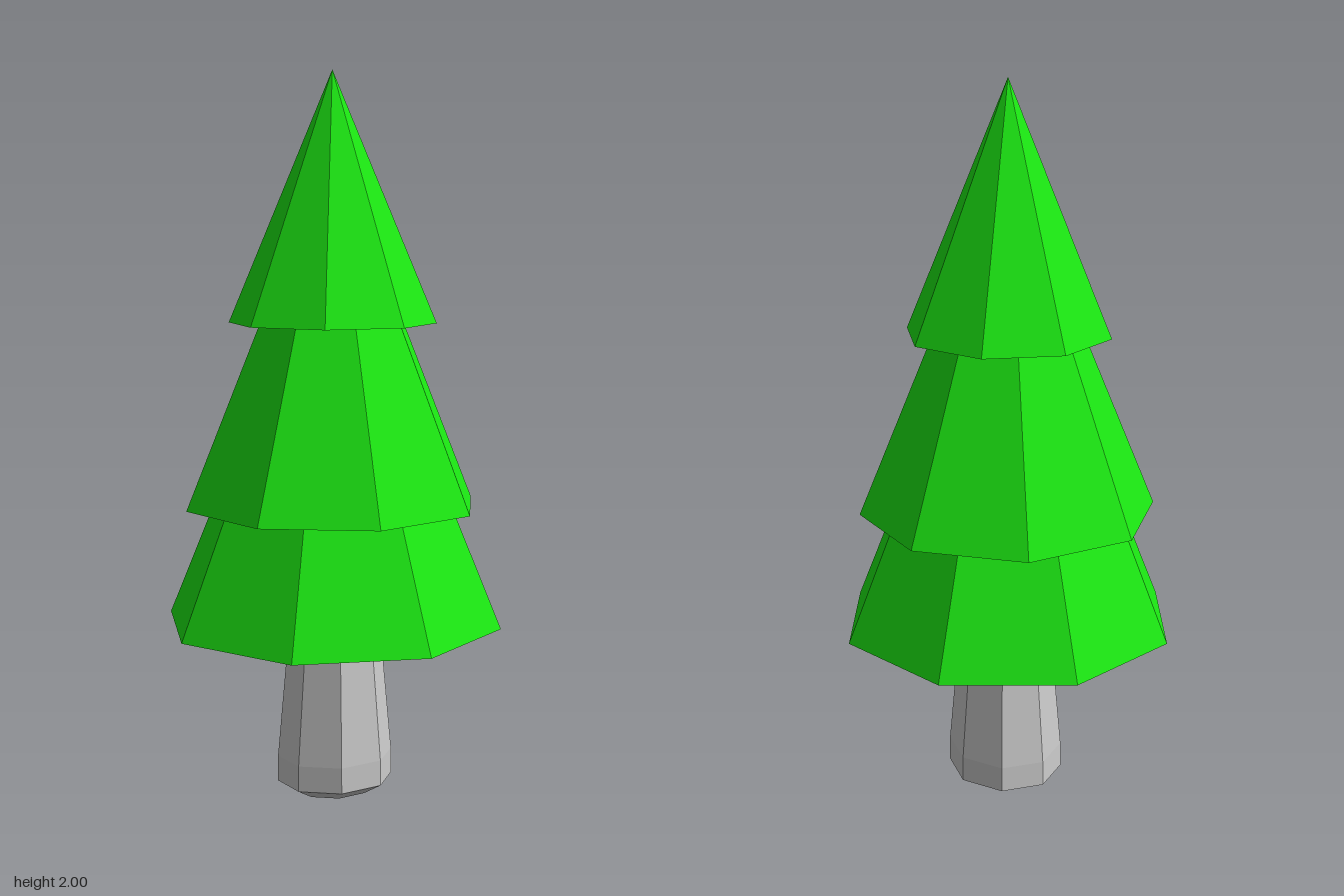
import * as THREE from 'three';

export function createModel() {
  const tree = new THREE.Group();
  tree.name = 'pineTree';
  const leafMat = new THREE.MeshStandardMaterial({ color: 0x1ce813, flatShading: true });
  const barkMat = new THREE.MeshStandardMaterial({ color: 0xcccccc, flatShading: true });

  // Foliage: three eight-sided tiers, each twisted against the one below
  const tiers = [
    { name: 'lowerFoliage', y0: 0.495, y1: 0.825, r0: 0.472, r1: 0.335, twist: 25.7 },
    { name: 'middleFoliage', y0: 0.825, y1: 1.325, r0: 0.412, r1: 0.205, twist: 10.6 },
    { name: 'topFoliage', y0: 1.325, y1: 2, r0: 0.284, r1: 0, twist: 34.5 },
  ];
  for (const t of tiers) {
    const geo = new THREE.CylinderGeometry(t.r1, t.r0, t.y1 - t.y0, 8);
    const tier = new THREE.Mesh(geo, leafMat);
    tier.name = t.name;
    tier.position.y = (t.y0 + t.y1) / 2;
    tier.rotation.y = THREE.MathUtils.degToRad(t.twist);
    tree.add(tier);
  }

  // Trunk: tapered octagon with a bevelled foot
  const profile = [[0, 0.005], [0.105, 0.006], [0.162, 0.038], [0.161, 0.11], [0.126, 0.5]]
    .map(([r, y]) => new THREE.Vector2(r, y));
  const trunkGeo = new THREE.LatheGeometry(profile, 8);

  // The foot is cut slightly aslant, lower at the back
  const pos = trunkGeo.attributes.position;
  for (let i = 0; i < pos.count; i++) {
    if (pos.getY(i) < 0.2) pos.setY(i, pos.getY(i) + 0.05 * pos.getZ(i));
  }
  trunkGeo.computeVertexNormals();
  const trunk = new THREE.Mesh(trunkGeo, barkMat);
  trunk.name = 'trunk';
  trunk.position.x = 0.011;
  tree.add(trunk);

  return tree;
}
